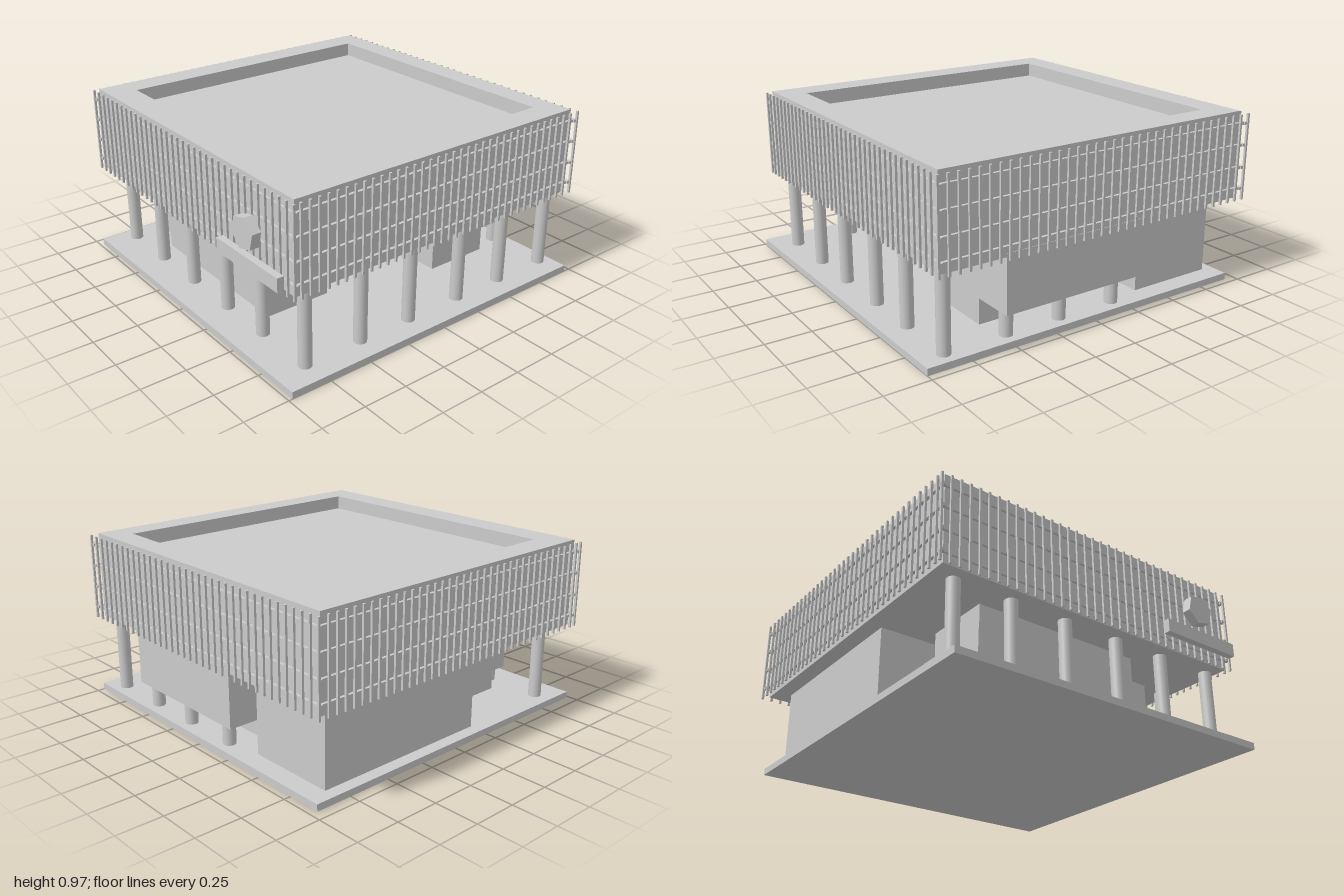
import * as THREE from 'three';

const material = new THREE.MeshStandardMaterial({ color: 0xcccccc });

// Box given by its limits on each axis
function box(parent, name, x0, x1, y0, y1, z0, z1) {
  const mesh = new THREE.Mesh(new THREE.BoxGeometry(x1 - x0, y1 - y0, z1 - z0), material);
  mesh.position.set((x0 + x1) / 2, (y0 + y1) / 2, (z0 + z1) / 2);
  mesh.name = name;
  parent.add(mesh);
  return mesh;
}

// Round upright post standing on the slab
function column(parent, name, x, z, top) {
  const y0 = 0.035;
  const mesh = new THREE.Mesh(new THREE.CylinderGeometry(0.036, 0.036, top - y0, 24), material);
  mesh.position.set(x, (y0 + top) / 2, z);
  mesh.name = name;
  parent.add(mesh);
}

// Rectangle outline from limits, for shapes and holes
function rect(target, x0, x1, y0, y1) {
  target.moveTo(x0, y0);
  target.lineTo(x1, y0);
  target.lineTo(x1, y1);
  target.lineTo(x0, y1);
  target.closePath();
  return target;
}

export function createModel() {
  const model = new THREE.Group();
  model.name = 'pavilion';

  box(model, 'baseSlab', -0.98, 0.96, 0, 0.038, -0.94, 1);

  // Upper storey with a sunken roof inside a wide parapet
  box(model, 'upperStorey', -0.9, 0.955, 0.48, 0.89, -0.96, 0.925);
  const parapetShape = rect(new THREE.Shape(), -0.9, 0.955, -0.925, 0.96);
  parapetShape.holes.push(rect(new THREE.Path(), -0.74, 0.82, -0.78, 0.81));
  const parapet = new THREE.Mesh(
    new THREE.ExtrudeGeometry(parapetShape, { depth: 0.08, bevelEnabled: false }), material);
  parapet.rotation.x = -Math.PI / 2;
  parapet.position.y = 0.89;
  parapet.name = 'roofParapet';
  model.add(parapet);

  // Ground floor rooms
  box(model, 'backRoom', -0.2, 0.85, 0.035, 0.485, -0.87, -0.36);
  box(model, 'sideRoomBase', 0.33, 0.72, 0.035, 0.18, -0.28, 0.56);
  box(model, 'sideRoomOverhang', 0.33, 0.958, 0.18, 0.5, -0.28, 0.56);
  box(model, 'core', -0.695, -0.305, 0.035, 0.485, -0.61, 0.4);
  box(model, 'coreBand', -0.745, -0.268, 0.175, 0.31, -0.65, 0.44);

  // Columns along the front and the right side, short posts under the overhang
  const columns = new THREE.Group();
  columns.name = 'columns';
  model.add(columns);
  for (const x of [-0.805, -0.46, -0.135, 0.215, 0.535, 0.88]) column(columns, 'frontColumn', x, 0.865, 0.485);
  for (const z of [-0.838, -0.5, -0.16, 0.185, 0.51]) column(columns, 'sideColumn', -0.805, z, 0.485);
  for (const z of [-0.16, 0.185, 0.51]) column(columns, 'shortPost', 0.88, z, 0.185);

  // Screen of upright fins on horizontal rails around the upper storey
  const screen = new THREE.Group();
  screen.name = 'finScreen';
  model.add(screen);
  const fin = 0.006, rail = 0.008, count = 36;
  const left = -0.919, right = 0.988, back = -0.988, front = 0.948;
  for (let i = 0; i < count; i++) {
    const t = i / (count - 1);
    const x = THREE.MathUtils.lerp(left + 0.04, right - 0.06, t);
    const z = THREE.MathUtils.lerp(back, front, t);
    for (const fz of [front, back]) box(screen, 'fin', x - fin, x + fin, 0.475, 0.96, fz - fin, fz + fin);
    for (const fx of [left, right]) box(screen, 'fin', fx - fin, fx + fin, 0.475, 0.96, z - fin, z + fin);
  }
  for (const y of [0.54, 0.66, 0.785, 0.905]) {
    for (const z of [front - 0.014, back + 0.014])
      box(screen, 'rail', left, right, y - rail, y + rail, z - rail, z + rail);
    for (const x of [left + 0.014, right - 0.014])
      box(screen, 'rail', x - rail, x + rail, y - rail, y + rail, back, front);
  }

  // Wall emblem: a bar under a six-sided plate
  box(model, 'signBar', -0.988, -0.95, 0.527, 0.602, 0.405, 0.91);
  const plate = new THREE.Mesh(
    new THREE.CylinderGeometry(0.09, 0.09, 0.05, 6).toNonIndexed(), material);
  plate.geometry.computeVertexNormals();
  plate.geometry.rotateZ(Math.PI / 2);
  plate.geometry.rotateX(-Math.PI / 12);
  plate.position.set(-0.975, 0.728, 0.652);
  plate.name = 'signPlate';
  model.add(plate);

  return model;
}
